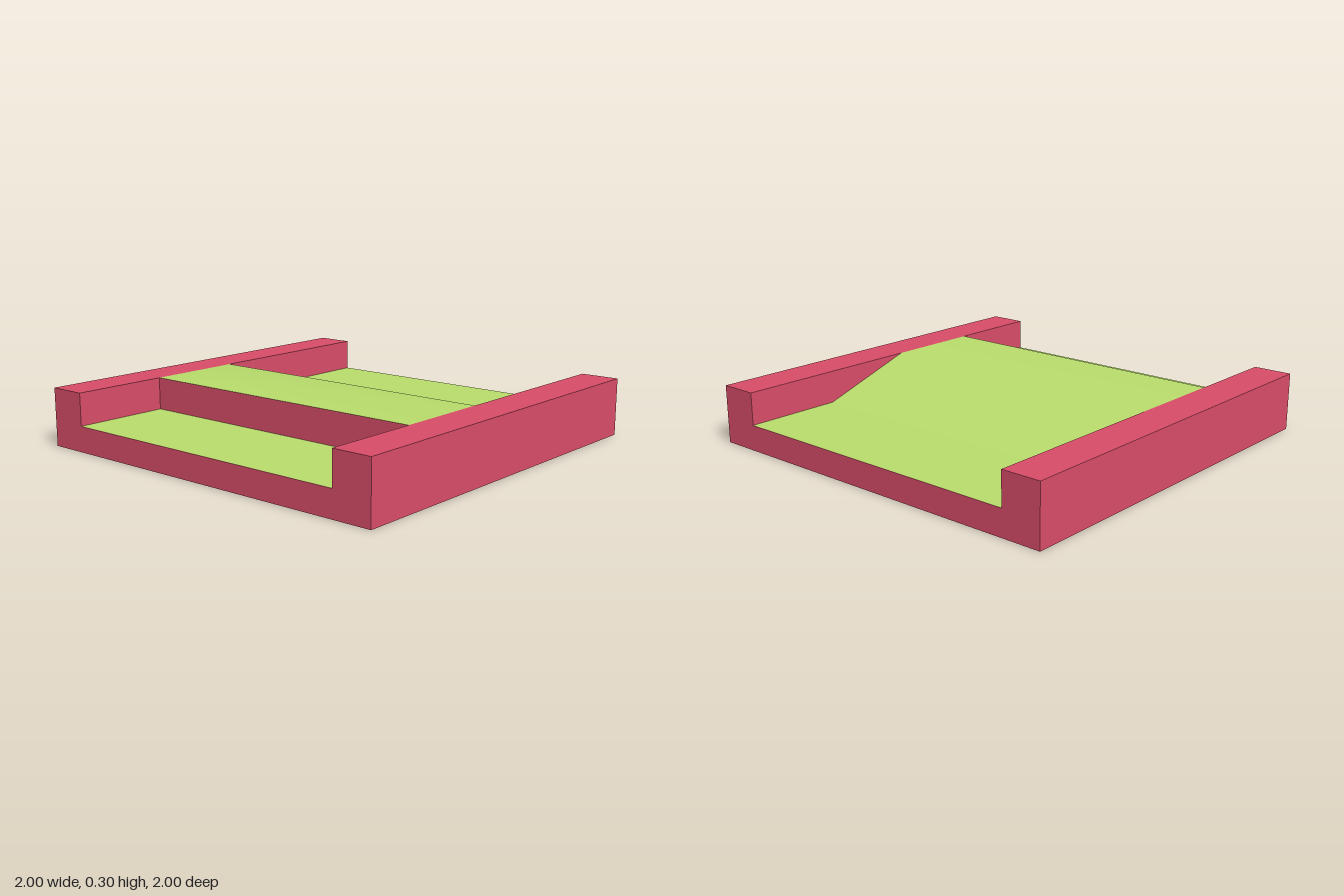
import * as THREE from 'three';

const FLOOR = 0.13, TOP = 0.295, INNER = 0.8;

export function createModel() {
  const red = new THREE.MeshStandardMaterial({ color: 0xd84c69 });
  red.name = 'red';
  const green = new THREE.MeshStandardMaterial({ color: 0xb8dc6b });
  green.name = 'green';

  const model = new THREE.Group();
  model.name = 'rampTile';
  const add = (name, geometry, material, x = 0, y = 0, z = 0) => {
    const mesh = new THREE.Mesh(geometry, material);
    mesh.name = name;
    mesh.position.set(x, y, z);
    model.add(mesh);
    return mesh;
  };

  // U-shaped tray: base slab with a rail along each side
  const section = new THREE.Shape([
    [-1, 0], [1, 0], [1, TOP], [INNER, TOP], [INNER, FLOOR],
    [-INNER, FLOOR], [-INNER, TOP], [-1, TOP],
  ].map(([x, y]) => new THREE.Vector2(x, y)));
  add('tray', new THREE.ExtrudeGeometry(section, { depth: 2, bevelEnabled: false }), red, 0, 0, -1);

  // Green floor strips before and after the ramp
  for (const [name, z] of [['backFloor', -0.75], ['frontFloor', 0.75]]) {
    const floor = new THREE.PlaneGeometry(2 * INNER, 0.5).rotateX(-Math.PI / 2);
    add(name, floor, green, 0, FLOOR + 0.001, z);
  }

  // Ramp surface: rises from the back, then runs level, smooth across the ridge
  const profile = [[-0.5, FLOOR], [0, TOP], [0.5, TOP]];
  const surface = new THREE.PlaneGeometry(2 * INNER, 1, 1, 2).rotateX(-Math.PI / 2);
  const pos = surface.attributes.position;
  for (let i = 0; i < pos.count; i++) {
    const [z, y] = profile[Math.floor(i / 2)];
    pos.setY(i, y);
    pos.setZ(i, z);
  }
  surface.computeVertexNormals();
  add('rampSurface', surface, green);

  // Upright drop at the front end of the ramp
  const drop = new THREE.PlaneGeometry(2 * INNER, TOP - FLOOR);
  add('rampDrop', drop, red, 0, (TOP + FLOOR) / 2, 0.5);

  return model;
}
